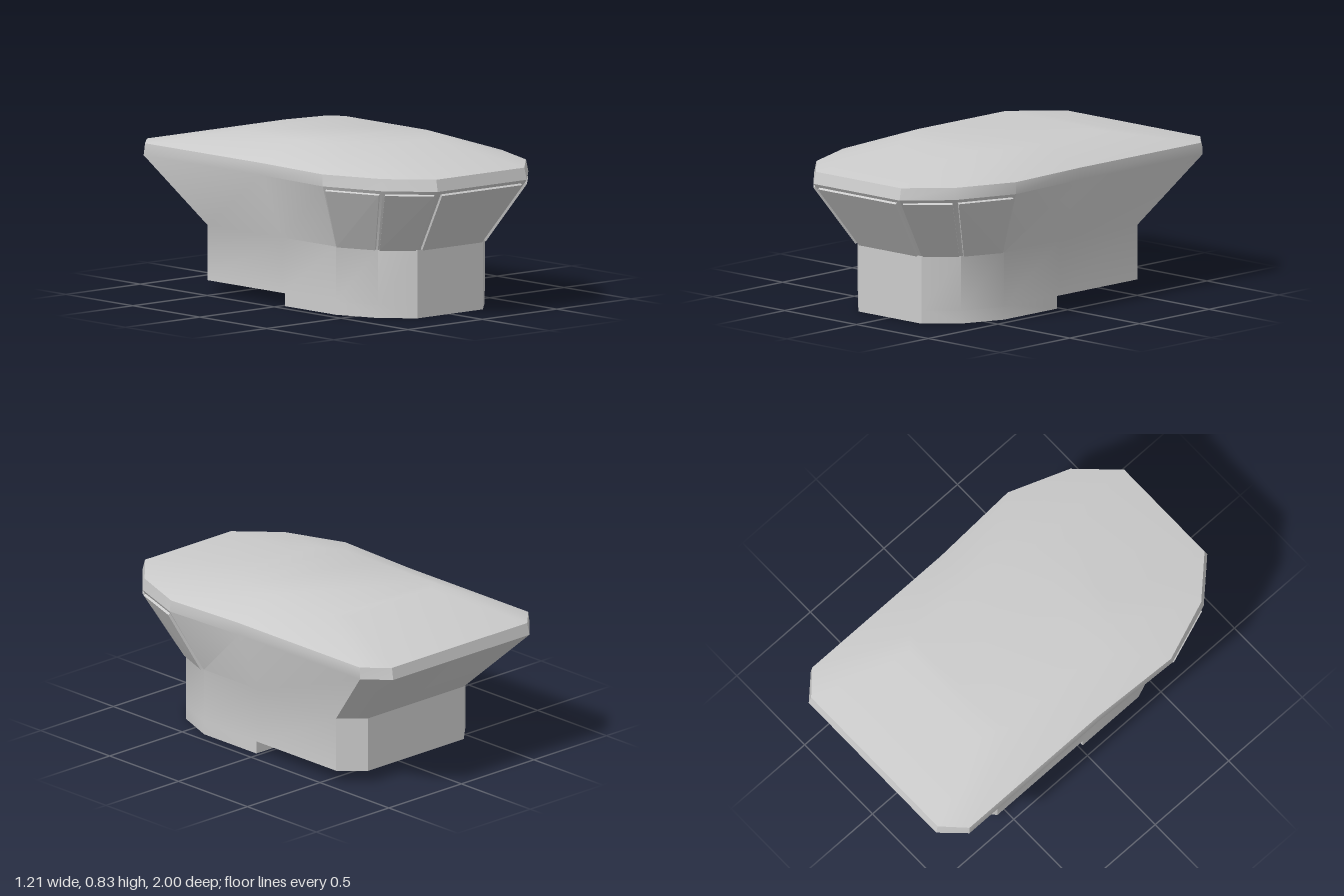
import * as THREE from 'three';
import { toCreasedNormals } from 'three/addons/utils/BufferGeometryUtils.js';
import { ConvexGeometry } from 'three/addons/geometries/ConvexGeometry.js';

const grey = new THREE.MeshStandardMaterial({ color: 0xcccccc, side: THREE.DoubleSide });

// Half outlines as [x, z], from the front round to the back
const BASE = [[0.22, 0.76], [0.36, 0.62], [0.445, 0.4], [0.445, 0], [0.445, -0.56], [0.33, -0.67]];
const EAVE = [[0.3, 1], [0.49, 0.8], [0.605, 0.48], [0.585, 0], [0.585, -0.88], [0.47, -1]];
const EAVE_TOP = [[0.296, 0.985], [0.483, 0.79], [0.602, 0.475], [0.58, 0], [0.58, -0.875], [0.466, -0.987]];
const CROWN = [[0.18, 0.43], [0.28, 0.34], [0.35, 0.2], [0.35, 0], [0.35, -0.42], [0.28, -0.49]];

const mirror = (half) => [...half, ...half.map(([x, z]) => [-x, z]).reverse()];
const ring = (half, y) => mirror(half).map(([x, z]) => new THREE.Vector3(x, y, z));

// Skin through rings of equal point count, with an optional cap on the last one
function loft(rings, capped) {
  const pos = [];
  const tri = (...v) => v.forEach((p) => pos.push(p.x, p.y, p.z));
  const n = rings[0].length;
  for (let r = 0; r < rings.length - 1; r++) {
    for (let i = 0; i < n; i++) {
      const j = (i + 1) % n;
      const [lo, hi] = [rings[r], rings[r + 1]];
      tri(lo[i], lo[j], hi[j]);
      tri(lo[i], hi[j], hi[i]);
    }
  }
  if (capped) {
    // Strips across the mirrored outline
    const top = rings[rings.length - 1];
    for (let i = 0; i < n / 2 - 1; i++) {
      const [a, b, c, d] = [top[i], top[i + 1], top[n - 2 - i], top[n - 1 - i]];
      tri(a, b, c);
      tri(a, c, d);
    }
  }
  const g = new THREE.BufferGeometry();
  g.setAttribute('position', new THREE.Float32BufferAttribute(pos, 3));
  return toCreasedNormals(g, THREE.MathUtils.degToRad(32));
}

// Thin slab set into one sloping face of the wall
function paneGeometry(a, b, a2, b2) {
  const at = (u, v) => a.clone().lerp(b, u).lerp(a2.clone().lerp(b2, u), v);
  const normal = b.clone().sub(a).cross(a2.clone().sub(a)).normalize();
  const pts = [];
  for (const u of [0.045, 0.955]) {
    for (const v of [0.015, 0.95]) {
      for (const d of [-0.01, 0.013]) pts.push(at(u, v).addScaledVector(normal, d));
    }
  }
  return new ConvexGeometry(pts);
}

// Horizontal slab of the U-shaped plinth between two heights
function plinthLayer(inner, y0, y1) {
  const outer = [[0.444, 0.02], [0.444, 0.4], [0.359, 0.619], [0.22, 0.759]];
  const outline = [...mirror(outer), ...mirror(inner).reverse()];
  const shape = new THREE.Shape(outline.map(([x, z]) => new THREE.Vector2(x, -z)));
  const g = new THREE.ExtrudeGeometry(shape, { depth: y1 - y0, bevelEnabled: false });
  g.rotateX(-Math.PI / 2).translate(0, y0, 0);
  return toCreasedNormals(g, THREE.MathUtils.degToRad(32));
}

export function createModel() {
  const model = new THREE.Group();
  model.name = 'observationCabin';
  const add = (name, geometry, parent = model) => {
    const mesh = new THREE.Mesh(geometry, grey);
    mesh.name = name;
    parent.add(mesh);
  };

  // Hollow body: upright wall, flared wall, eave and sloped roof
  const sill = ring(BASE, 0.345);
  const eave = ring(EAVE, 0.675);
  add('body', loft([
    ring(BASE, 0.065), sill, eave, ring(EAVE_TOP, 0.735), ring(CROWN, 0.83),
  ], true));

  // Five window panes round the front
  const windows = new THREE.Group();
  windows.name = 'windows';
  model.add(windows);
  const n = sill.length;
  for (const i of [n - 3, n - 2, n - 1, 0, 1]) {
    const j = (i + 1) % n;
    add('windowPane', paneGeometry(sill[i], sill[j], eave[i], eave[j]), windows);
  }

  // Plinth under the front, with slots cut into its inner side
  const plain = [[0.32, 0.02], [0.32, 0.36], [0.265, 0.51], [0.17, 0.63]];
  const slotted = [
    [0.32, 0.02], [0.32, 0.08], [0.39, 0.08], [0.39, 0.38], [0.335, 0.54],
    [0.265, 0.51], [0.17, 0.63], [0.15, 0.63], [0.15, 0.7],
  ];
  const plinth = new THREE.Group();
  plinth.name = 'plinth';
  model.add(plinth);
  add('plinthFoot', plinthLayer(plain, 0, 0.08), plinth);
  add('plinthSlots', plinthLayer(slotted, 0.08, 0.19), plinth);
  add('plinthTop', plinthLayer(plain, 0.19, 0.335), plinth);

  return model;
}
